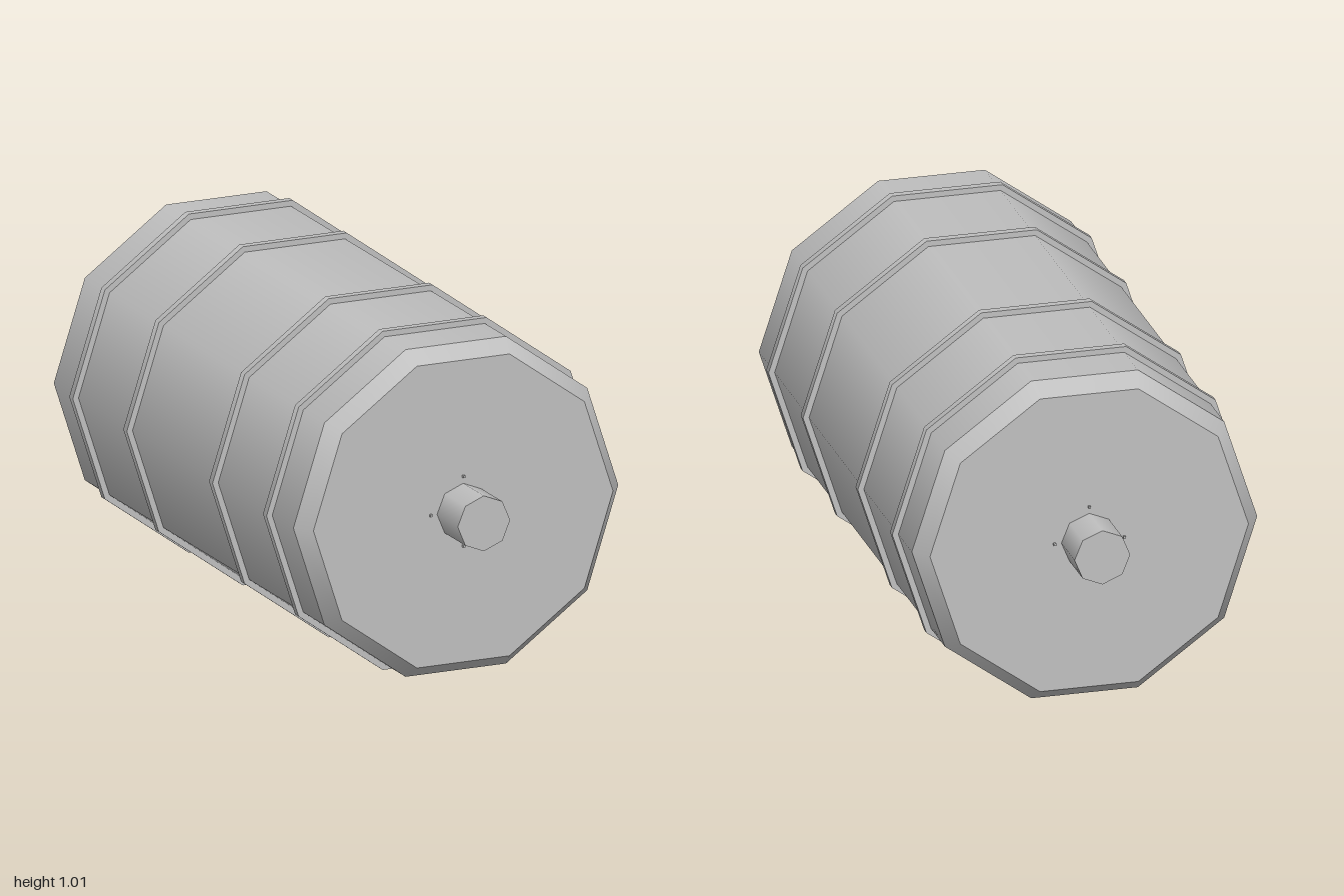
import * as THREE from 'three';

export function createModel() {
  const model = new THREE.Group();
  model.name = 'drumRoller';
  const metal = new THREE.MeshStandardMaterial({ color: 0xc0c0c0 });
  metal.name = 'grey metal';

  const roller = new THREE.Group();
  roller.name = 'roller';
  roller.position.y = 0.507;
  model.add(roller);

  const add = (parent, name, geometry) => {
    const mesh = new THREE.Mesh(geometry, metal);
    mesh.name = name;
    parent.add(mesh);
    return mesh;
  };

  // Prism lying along z, with a corner on the x axis
  const prism = (rFront, rBack, z0, z1, sides, open) =>
    new THREE.CylinderGeometry(rFront, rBack, z1 - z0, sides, 1, open, Math.PI / 2)
      .rotateX(Math.PI / 2)
      .translate(0, 0, (z0 + z1) / 2);

  const R = 0.515, CAP_R = 0.475, SIDES = 10;

  // Ten-sided drum
  add(roller, 'drum', prism(R, R, -0.81, 0.81, SIDES, true));

  // Raised hoops around the drum
  for (const z of [-0.655, -0.29, 0.29, 0.655])
    add(roller, 'hoop', prism(0.533, 0.533, z - 0.012, z + 0.012, SIDES, false));

  // Bevel, end plate, axle stub and bolts, repeated at each end
  for (const [name, turn] of [['frontEnd', 0], ['backEnd', Math.PI]]) {
    const end = new THREE.Group();
    end.name = name;
    end.rotation.y = turn;
    roller.add(end);
    add(end, 'bevel', prism(CAP_R, R, 0.81, 0.86, SIDES, true));
    add(end, 'endPlate', new THREE.CircleGeometry(CAP_R, SIDES).translate(0, 0, 0.86));
    add(end, 'axle', prism(0.083, 0.083, 0.855, 1, 8, false));
    for (let i = 0; i < 4; i++) {
      const a = (i * Math.PI) / 2;
      add(end, 'bolt', new THREE.BoxGeometry(0.007, 0.007, 0.012))
        .position.set(0.104 * Math.cos(a), 0.104 * Math.sin(a), 0.862);
    }
  }
  return model;
}
